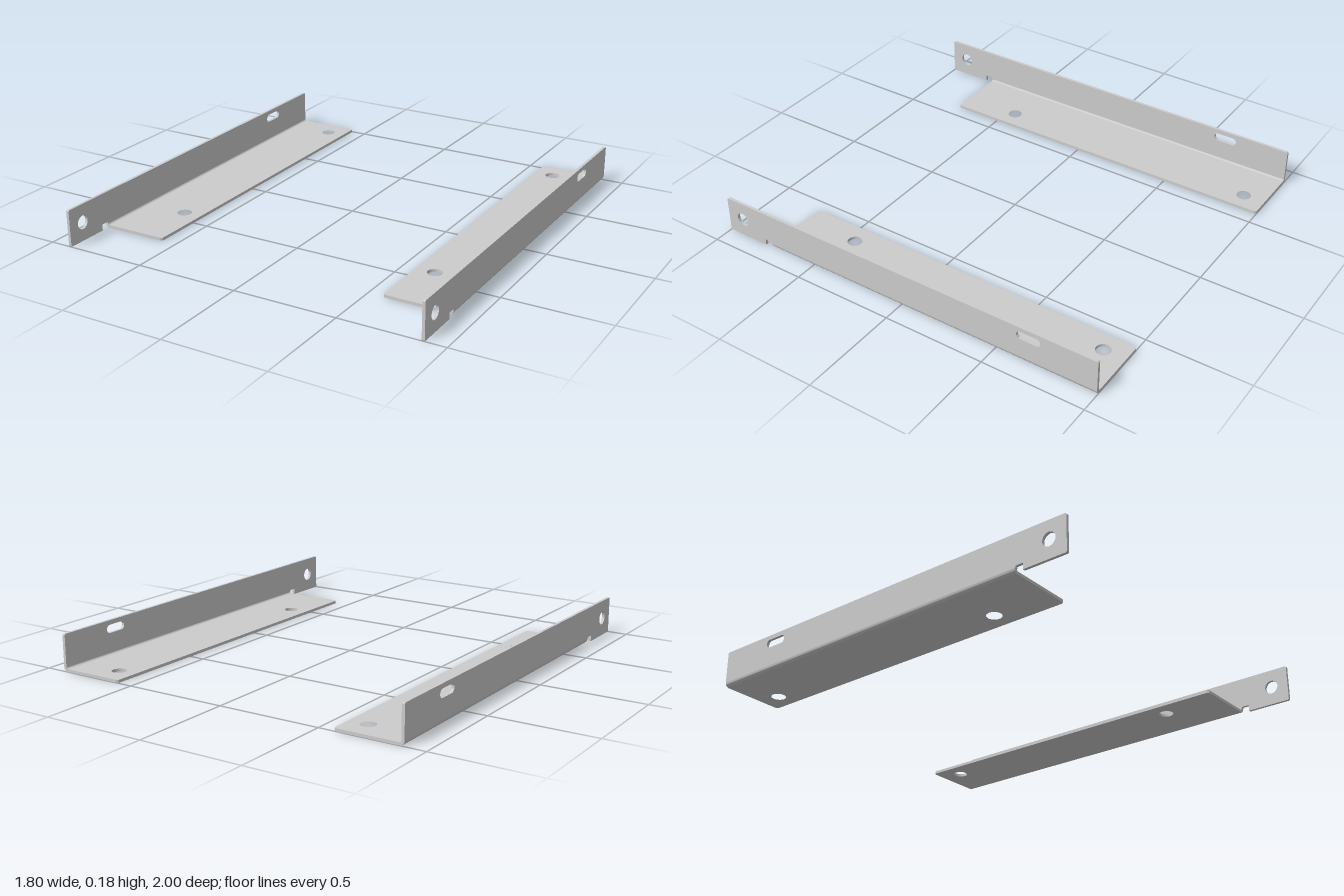
import * as THREE from 'three';
import { toCreasedNormals } from 'three/addons/utils/BufferGeometryUtils.js';

const T = 0.014;      // sheet thickness
const R = 0.022;      // outer bend radius
const OUT = 0.902;    // outer face of the walls
const FLOOR_END = 0.742;

const material = new THREE.MeshStandardMaterial({ color: 0xcccccc });

function plate(shape, depth) {
  return new THREE.ExtrudeGeometry(shape, { depth, bevelEnabled: false, curveSegments: 16 });
}

function addMesh(group, name, geometry) {
  const mesh = new THREE.Mesh(toCreasedNormals(geometry, 0.6), material);
  mesh.name = name;
  group.add(mesh);
}

function roundHole(x, y, r) {
  return new THREE.Path().absarc(x, y, r, 0, Math.PI * 2, true);
}

function slotHole(x, y, halfLength, r) {
  const p = new THREE.Path();
  p.absarc(x + halfLength - r, y, r, -Math.PI / 2, Math.PI / 2, false);
  p.absarc(x - halfLength + r, y, r, Math.PI / 2, Math.PI * 1.5, false);
  p.closePath();
  return p;
}

// s = +1 for the left bracket, -1 for the right one
function bracket(s) {
  const group = new THREE.Group();

  // Upright wall, drawn in (z, y), with relief notch, tab hole and slot
  const wall = new THREE.Shape([
    [-1, R], [0.745, R], [0.745, 0.03], [0.783, 0.03], [0.783, 0], [0.995, 0],
    [1, 0.005], [1, 0.173], [0.995, 0.178], [-0.995, 0.178], [-1, 0.173],
  ].map(([z, y]) => new THREE.Vector2(z, y)));
  wall.holes.push(roundHole(0.913, 0.09, 0.033), slotHole(-0.668, 0.136, 0.059, 0.02));
  addMesh(group, 'wall', plate(wall, T)
    .rotateY(-Math.PI / 2)
    .translate(s > 0 ? OUT : -OUT + T, 0, 0));

  // Floor flange, drawn in (x, z), with two mounting holes
  const c = 0.008;
  const floor = new THREE.Shape([
    [OUT - R, -1], [OUT - R, FLOOR_END], [0.575 + c, FLOOR_END], [0.575, FLOOR_END - c],
    [0.575, -1 + c], [0.575 + c, -1],
  ].map(([x, z]) => new THREE.Vector2(s * x, z)));
  for (const z of [-0.89, 0.445]) floor.holes.push(roundHole(s * 0.667, z, 0.035));
  addMesh(group, 'floorFlange', plate(floor, T).rotateX(Math.PI / 2).translate(0, T, 0));

  // Rounded bend joining wall and floor
  const arc = [];
  const n = 8;
  const point = (r, i) => {
    const a = (i / n) * Math.PI / 2;
    return new THREE.Vector2(s * (OUT - R + r * Math.sin(a)), R - r * Math.cos(a));
  };
  for (let i = 0; i <= n; i++) arc.push(point(R, i));
  for (let i = n; i >= 0; i--) arc.push(point(R - T, i));
  addMesh(group, 'bend', plate(new THREE.Shape(arc), FLOOR_END + 1).translate(0, 0, -1));

  return group;
}

export function createModel() {
  const model = new THREE.Group();
  model.name = 'mountingBrackets';
  for (const s of [1, -1]) {
    const b = bracket(s);
    b.name = s > 0 ? 'leftBracket' : 'rightBracket';
    model.add(b);
  }
  return model;
}
